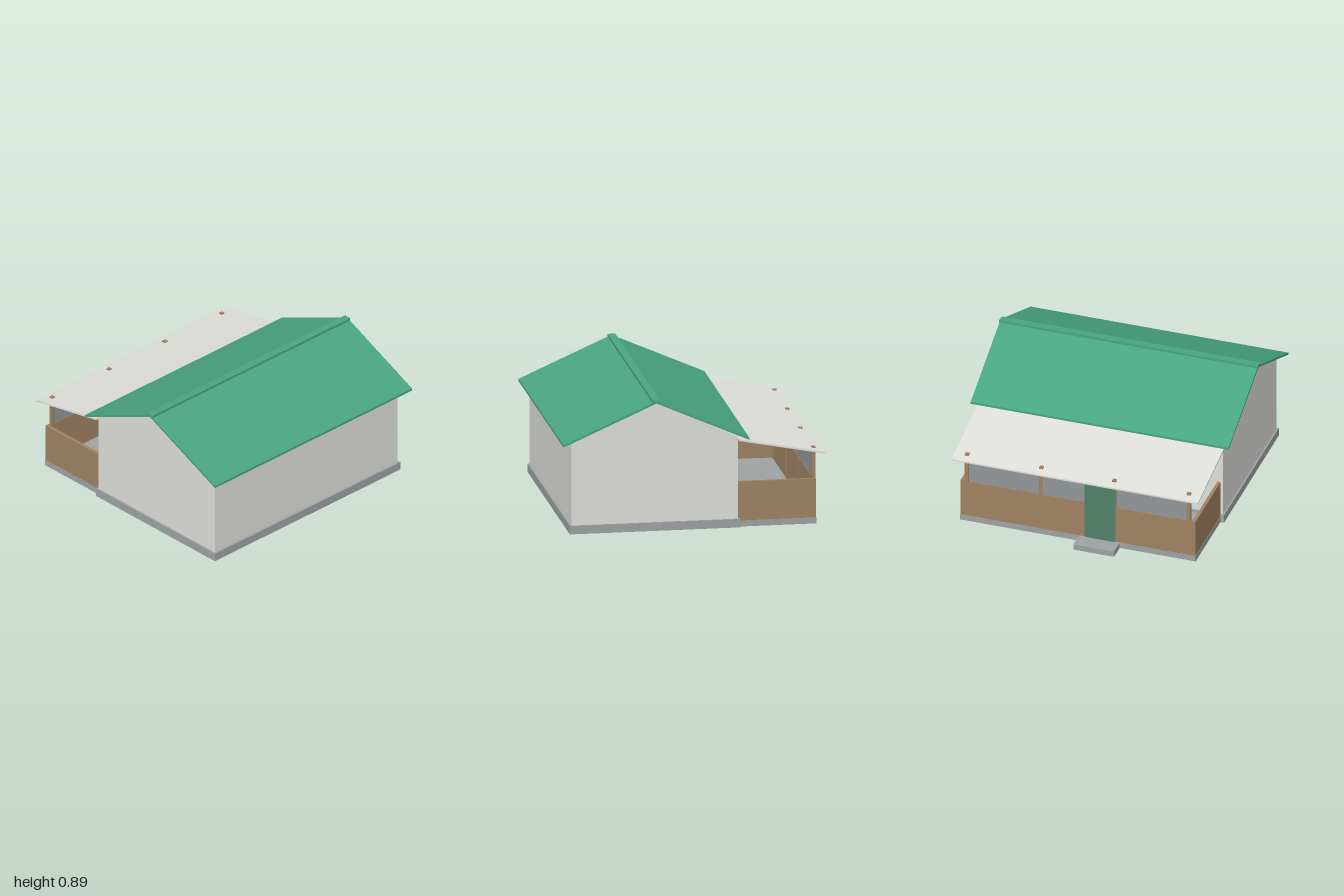
import * as THREE from 'three';

export function createModel() {
  const root = new THREE.Group();
  root.name = 'house';
  const house = new THREE.Group();
  house.name = 'turnedHouse';
  house.rotation.y = THREE.MathUtils.degToRad(-9.87); // the house stands at an angle
  root.add(house);

  const material = (name, color) => {
    const m = new THREE.MeshStandardMaterial({ color });
    m.name = name;
    return m;
  };
  const plaster = material('plaster', 0xdededa);
  const green = material('roofGreen', 0x48a582);
  const brown = material('woodBrown', 0x9f8263);
  const stone = material('concreteGrey', 0x9ea2a2);
  const glass = material('windowGrey', 0x90979a);
  const doorGreen = material('doorGreen', 0x50806a);

  const add = (name, geometry, mat) => {
    const mesh = new THREE.Mesh(geometry, mat);
    mesh.name = name;
    house.add(mesh);
    return mesh;
  };
  // box given by its lower and upper limits on each axis
  const box = (name, mat, [x0, x1], [y0, y1], [z0, z1]) => {
    const mesh = add(name, new THREE.BoxGeometry(x1 - x0, y1 - y0, z1 - z0), mat);
    mesh.position.set((x0 + x1) / 2, (y0 + y1) / 2, (z0 + z1) / 2);
  };
  // outline in x and y, drawn out along z
  const prism = (name, mat, points, z0, z1) => {
    const shape = new THREE.Shape(points.map(([x, y]) => new THREE.Vector2(x, y)));
    const g = new THREE.ExtrudeGeometry(shape, { depth: z1 - z0, bevelEnabled: false });
    add(name, g.translate(0, 0, z0), mat);
  };

  // main body with its gables
  const ridge = 0.246;
  box('foundation', stone, [-0.315, 0.806], [0, 0.056], [-0.845, 0.813]);
  prism('walls', plaster,
    [[-0.303, 0.056], [0.794, 0.056], [0.794, 0.602], [ridge, 0.862], [-0.303, 0.602]], -0.833, 0.801);

  // two roof slopes and the ridge cap
  for (const side of [-1, 1]) {
    const eave = ridge + side * 0.611;
    const points = [[eave, 0.598], [ridge, 0.867], [ridge, 0.882], [eave, 0.613]];
    prism(side < 0 ? 'rightRoofSlope' : 'leftRoofSlope', green, points, -0.903, 0.861);
  }
  box('ridgeCap', green, [ridge - 0.025, ridge + 0.025], [0.87, 0.888], [-0.905, 0.864]);

  // porch base, low walls and step
  const outer = -0.818, back = -0.822, front = 0.786, t = 0.022;
  box('porchBase', stone, [outer - 0.002, -0.315], [0, 0.04], [back - 0.002, front + 0.002]);
  box('porchLongWall', brown, [outer, outer + t], [0.04, 0.3], [back, front]);
  box('porchBackWall', brown, [outer + t, -0.303], [0.04, 0.3], [back, back + t]);
  box('porchFrontWall', brown, [outer + t, -0.303], [0.04, 0.3], [front - t, front]);
  box('step', stone, [-0.935, outer - 0.002], [0, 0.04], [-0.01, 0.268]);

  // posts with window panes between them
  const posts = [-0.779, -0.271, 0.229, 0.738];
  posts.forEach((z, i) => {
    box('porchPost', brown, [outer, outer + 0.026], [0.04, 0.506], [z - 0.013, z + 0.013]);
    if (i < 3) {
      box('porchWindow', glass, [outer + 0.007, outer + 0.019], [0.3, 0.486], [z + 0.013, posts[i + 1] - 0.013]);
    }
  });
  box('porchDoor', doorGreen, [outer - 0.006, outer], [0.04, 0.482], [0.03, 0.24]);

  // lean-to roof over the porch
  prism('porchRoof', plaster,
    [[-0.872, 0.474], [-0.303, 0.583], [-0.303, 0.594], [-0.872, 0.485]], -0.864, 0.821);

  return root;
}
